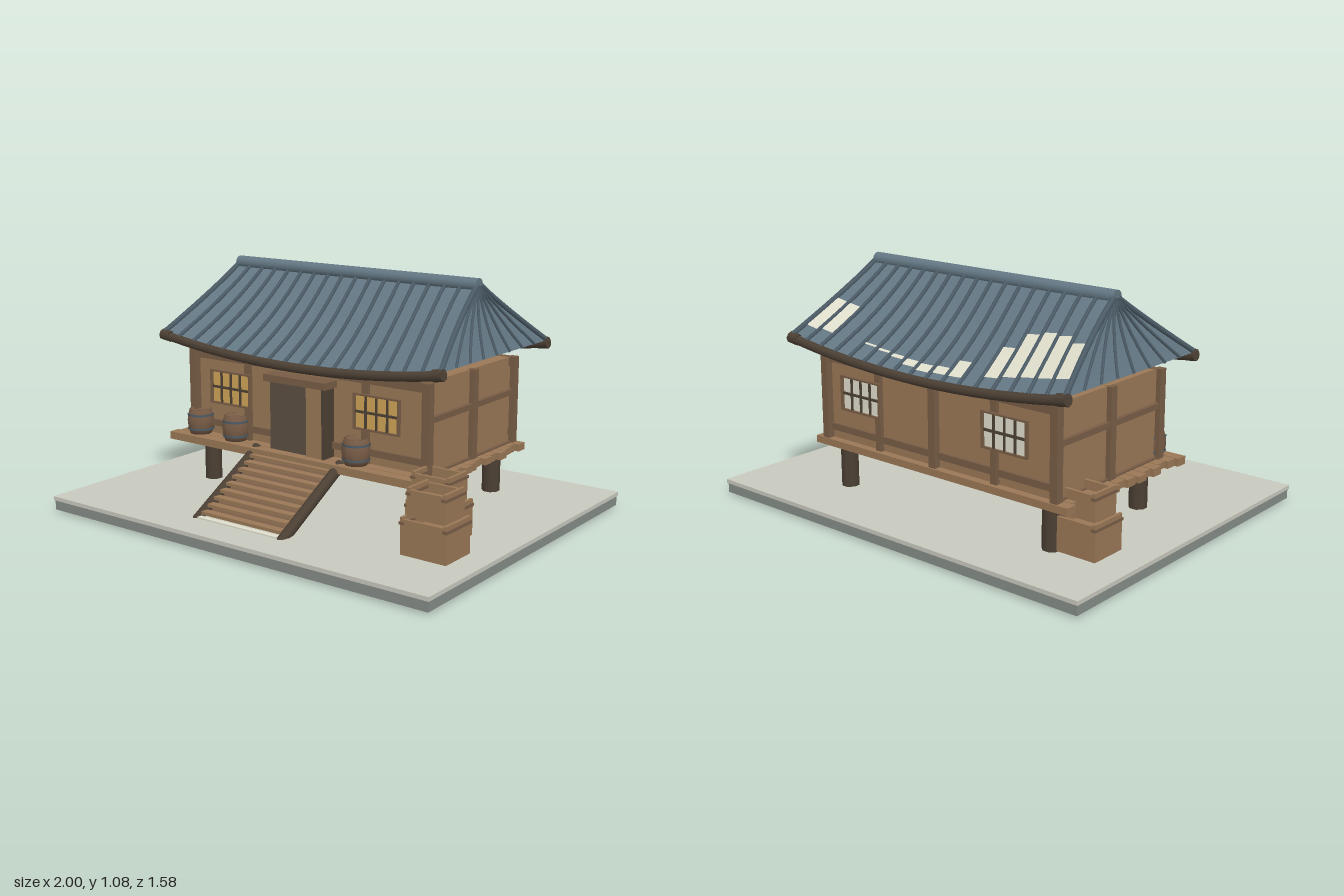
import * as THREE from 'three';

const mat = (name, color, extra = {}) => {
  const m = new THREE.MeshStandardMaterial({ color, ...extra });
  m.name = name;
  return m;
};
const M = {
  wood: mat('light wood', 0x9a7856),
  post: mat('brown timber', 0x785c46),
  dark: mat('dark timber', 0x4c4034),
  door: mat('door brown', 0x5c4e42),
  slate: mat('slate tile', 0x637783, { side: THREE.DoubleSide }),
  rib: mat('dark slate', 0x4c5c67),
  ground: mat('pale ground', 0xc8c9be),
  stone: mat('grey stone', 0x858c87),
  glow: mat('warm window', 0xd0a558),
  paper: mat('cream', 0xe0dfcd, { side: THREE.DoubleSide }),
};
const CX = -0.055, CZ = -0.185; // centre of the house

function add(parent, name, geo, material, x = 0, y = 0, z = 0) {
  const m = new THREE.Mesh(geo, material);
  m.name = name;
  m.position.set(x, y, z);
  parent.add(m);
  return m;
}
// Box given by its two extents on each axis
function box(parent, name, material, x0, x1, y0, y1, z0, z1) {
  return add(parent, name, new THREE.BoxGeometry(x1 - x0, y1 - y0, z1 - z0), material,
    (x0 + x1) / 2, (y0 + y1) / 2, (z0 + z1) / 2);
}
function group(parent, name) {
  const g = new THREE.Group();
  g.name = name;
  parent.add(g);
  return g;
}

// Roof surfaces: t runs from ridge to eave
const halfW = t => 0.655 + 0.095 * Math.pow(t, 1.4);
const halfD = t => 0.01 + 0.425 * t;
const slope = (side, u, t, lift = 0) => new THREE.Vector3(
  CX + u * halfW(t),
  1.045 - 0.285 * t - (1 - u * u) * (0.06 * t + 0.03 * Math.sin(Math.PI * t)) + lift,
  CZ + side * (halfD(t) + lift * 0.6));
const hip = (side, v, t, lift = 0) => new THREE.Vector3(
  CX + side * (halfW(t) + lift), 1.045 - 0.285 * t + lift * 0.4, CZ + v * halfD(t));

function sheet(fn, a0, a1, t0, t1, na, nt) {
  const pos = [], idx = [];
  for (let i = 0; i <= na; i++) for (let j = 0; j <= nt; j++) {
    const p = fn(a0 + (a1 - a0) * i / na, t0 + (t1 - t0) * j / nt);
    pos.push(p.x, p.y, p.z);
    if (i < na && j < nt) {
      const k = i * (nt + 1) + j;
      idx.push(k, k + 1, k + nt + 1, k + 1, k + nt + 2, k + nt + 1);
    }
  }
  const g = new THREE.BufferGeometry();
  g.setAttribute('position', new THREE.Float32BufferAttribute(pos, 3));
  g.setIndex(idx);
  g.computeVertexNormals();
  return g;
}
// Mirrored sheets have their corner order reversed so normals face outward
function outward(geo, flip) {
  if (!flip) return geo;
  geo.setIndex([...geo.index.array].reverse());
  geo.computeVertexNormals();
  return geo;
}
function rod(parent, name, material, fn, r, n = 8, sides = 6) {
  const pts = Array.from({ length: n + 1 }, (_, i) => fn(i / n));
  add(parent, name, new THREE.TubeGeometry(new THREE.CatmullRomCurve3(pts), n, r, sides), material);
}

function buildRoof(root) {
  const roof = group(root, 'roof');
  const N = 17;
  for (const s of [1, -1]) {
    add(roof, 'roofSlope', outward(sheet((u, t) => slope(s, u, t), -1, 1, 0, 1, 24, 10), s < 0), M.slate);
    add(roof, 'roofHip', outward(sheet((v, t) => hip(s, v, t), -1, 1, 0, 1, 8, 10), s > 0), M.slate);
    for (let i = 1; i < N; i++)
      rod(roof, 'tileRib', M.rib, t => slope(s, -1 + 2 * i / N, t, 0.004), 0.009);
    for (let i = 1; i < 8; i++)
      rod(roof, 'hipRib', M.rib, t => hip(s, -1 + i / 4, t, 0.002), 0.007);
    for (const u of [-1, 1]) {
      rod(roof, 'cornerRib', M.rib, t => slope(s, u, t, 0.003), 0.013);
      const c = slope(s, u, 1);
      const cap = add(roof, 'eaveEnd', new THREE.CylinderGeometry(0.026, 0.026, 0.05, 8), M.dark,
        c.x - u * 0.012, c.y - 0.012, c.z);
      cap.rotation.z = Math.PI / 2 + u * 0.15;
    }
    // Sagging eave beam
    rod(roof, 'eaveBeam', M.dark, k => {
      const p = slope(s, -1 + 2 * k, 1);
      return p.setY(p.y - 0.012);
    }, 0.021, 20, 8);
  }
  // Ridge pole
  const ridge = add(roof, 'ridge', new THREE.CylinderGeometry(0.03, 0.03, 1.32, 12), M.slate, CX, 1.05, CZ + 0.005);
  ridge.rotation.z = Math.PI / 2;
  // Bare patches on the back slope: column, upper z, lower z
  const patches = [[0, 0.40, 0.55], [1, 0.37, 0.55], [2, 0.36, 0.55], [3, 0.37, 0.555], [4, 0.43, 0.565],
    [6, 0.51, 0.585], [7, 0.55, 0.585], [8, 0.555, 0.59], [9, 0.55, 0.58], [10, 0.545, 0.56],
    [11, 0.54, 0.55], [12, 0.535, 0.543], [15, 0.41, 0.55], [16, 0.41, 0.56]];
  for (const [c, a, b] of patches) {
    const t = z => (z + CZ - 0.01) / 0.425;
    const u = -1 + 2 * c / N;
    add(roof, 'roofPatch', outward(sheet((p, q) => slope(-1, p, q, 0.005),
      u + 0.012, u + 2 / N - 0.012, t(a), t(b), 1, 4), true), M.paper);
  }
}

function buildWindow(root, x, z, s, pane) {
  const w = group(root, 'window');
  w.position.set(x, 0.53, z);
  box(w, 'windowPane', pane, -0.11, 0.11, -0.07, 0.07, -0.004, 0.004);
  const bar = (x0, x1, y0, y1, m, d) => box(w, 'windowBar', m, x0, x1, y0, y1, d - 0.006, d + 0.006);
  for (const k of [-1, 1]) {
    bar(k * 0.113 - 0.006, k * 0.113 + 0.006, -0.078, 0.078, M.post, s * 0.008);
    bar(-0.119, 0.119, k * 0.074 - 0.004, k * 0.074 + 0.004, M.post, s * 0.008);
    bar(k * 0.055 - 0.004, k * 0.055 + 0.004, -0.07, 0.07, M.dark, s * 0.006);
  }
  bar(-0.004, 0.004, -0.07, 0.07, M.dark, s * 0.006);
  bar(-0.11, 0.11, -0.005, 0.005, M.dark, s * 0.006);
}

function buildHouse(root) {
  const h = group(root, 'house');
  box(h, 'walls', M.wood, -0.69, 0.58, 0.29, 0.69, -0.515, 0.155);
  // Corner and middle posts, side beams
  for (const s of [-1, 1]) {
    const x = CX + s * 0.64;
    for (const z of [0.17, CZ + 0.005, -0.528])
      box(h, 'wallPost', M.post, x - 0.018, x + 0.018, 0.29, 0.69, z - 0.019, z + 0.019);
    box(h, 'sideBeam', M.post, x - 0.014, x + 0.014, 0.52, 0.545, -0.53, 0.17);
    box(h, 'sideSill', M.post, x - 0.01, x + 0.01, 0.29, 0.305, -0.53, 0.17);
  }
  // Front and back framing
  for (const [z, s] of [[0.155, 1], [-0.515, -1]]) {
    const slab = (n, x0, x1, y0, y1, d) => box(h, n, M.post, x0, x1, y0, y1, z - d, z + d);
    slab('topBeam', -0.69, 0.58, 0.648, 0.69, 0.02);
    slab('lowBeam', -0.69, 0.58, 0.335, 0.365, 0.014);
    for (const k of [-1, 1]) {
      const x = CX + k * 0.325;
      slab('innerPost', x - 0.017, x + 0.017, 0.29, 0.65, 0.017);
      buildWindow(h, CX + k * 0.402, z + s * 0.032, s, s > 0 ? M.glow : M.paper);
    }
  }
  box(h, 'backPost', M.post, CX - 0.018, CX + 0.018, 0.29, 0.66, -0.545, -0.51);
  // Doorway with a sliding door
  box(h, 'doorway', M.door, -0.21, 0.0, 0.295, 0.61, 0.15, 0.215);
  box(h, 'slidingDoor', M.wood, 0.0, 0.085, 0.295, 0.61, 0.15, 0.228);
  box(h, 'doorPost', M.dark, 0.085, 0.097, 0.295, 0.61, 0.15, 0.23);
  box(h, 'lintel', M.post, -0.225, 0.113, 0.607, 0.638, 0.15, 0.243);
}

function buildDeck(root) {
  const d = group(root, 'deck');
  for (let i = 0; i < 14; i++) {
    const z = 0.265 - i * 0.0587, k = i === 0 ? 0 : ((i * 7) % 5) * 0.007;
    box(d, 'plank', M.wood, -0.775 + k, 0.65 - k, 0.262 + (i % 3) * 0.003, 0.297, z - 0.054, z);
  }
  for (const x of [-0.63, 0.52]) for (const z of [0.13, -0.47])
    add(d, 'stilt', new THREE.CylinderGeometry(0.041, 0.041, 0.2, 8).rotateY(Math.PI / 8), M.dark, x, 0.167, z);
}

function buildStairs(root) {
  const g = group(root, 'stairs');
  const angle = Math.atan2(0.27, 0.47), len = Math.hypot(0.27, 0.47);
  for (const s of [-1, 1]) {
    const rail = add(g, 'stairRail', new THREE.CylinderGeometry(0.024, 0.024, len, 8), M.dark, CX + s * 0.232, 0.155, 0.445);
    rail.rotation.x = -Math.PI / 2 + angle;
    rail.rotation.x += Math.PI;
  }
  const back = add(g, 'stairBack', new THREE.BoxGeometry(0.43, 0.008, 0.42), M.post, CX, 0.16, 0.412);
  back.rotation.x = angle;
  for (let i = 0; i < 9; i++) {
    const z = 0.592 - i * 0.04, y = 0.088 + i * 0.0225;
    box(g, 'tread', M.wood, CX - 0.215, CX + 0.215, y - 0.007, y + 0.007, z - 0.02, z + 0.017);
  }
  box(g, 'footBoard', M.paper, CX - 0.215, CX + 0.215, 0.071, 0.077, 0.61, 0.635);
}

function buildBarrel(root, x) {
  const b = group(root, 'barrel');
  b.position.set(x, 0.297, 0.19);
  const prof = [[0, 0], [0.051, 0], [0.06, 0.03], [0.063, 0.057], [0.06, 0.085], [0.051, 0.115], [0.045, 0.115], [0.045, 0.106], [0, 0.106]];
  add(b, 'barrelBody', new THREE.LatheGeometry(prof.map(p => new THREE.Vector2(...p)), 12), M.post);
  for (const y of [0.025, 0.09])
    add(b, 'barrelHoop', new THREE.CylinderGeometry(0.0625, 0.0625, 0.01, 12, 1, true), M.rib, 0, y, 0);
}

// Open crate with a raised rim on two sides
function buildCrate(root, x, y, z, w, h, d) {
  const c = group(root, 'crate');
  c.position.set(x, y, z);
  const a = w / 2, b = d / 2, t = 0.014;
  box(c, 'crateFloor', M.wood, -a + t, a - t, 0, h * 0.6, -b + t, b - t);
  for (const s of [-1, 1]) {
    const X = s * (a - t / 2), Z = s * (b - t / 2);
    box(c, 'crateSide', M.wood, X - t / 2, X + t / 2, 0, h, -b, b);
    box(c, 'crateEnd', M.wood, -a + t, a - t, 0, h - 0.008, Z - t / 2, Z + t / 2);
    box(c, 'crateRim', M.post, X - t / 2 - 0.004, X + t / 2 + 0.004, h - 0.03, h - 0.018, -b - 0.004, b + 0.004);
  }
}

export function createModel() {
  const root = new THREE.Group();
  root.name = 'stiltHouse';
  // Ground slab
  box(root, 'slabBase', M.stone, -0.995, 0.995, 0.008, 0.052, -0.785, 0.785);
  box(root, 'slabTop', M.ground, -1, 1, 0.052, 0.07, -0.79, 0.79);
  buildDeck(root);
  buildHouse(root);
  buildRoof(root);
  buildStairs(root);
  [-0.65, -0.435, 0.24].forEach(x => buildBarrel(root, x));
  // Stacked crates
  for (const [x, z] of [[0.782, 0.41], [0.675, 0.215], [-0.748, -0.398]]) {
    buildCrate(root, x, 0.075, z, 0.212, 0.155, 0.176);
    buildCrate(root, x, 0.23, z, 0.178, 0.118, 0.14);
  }
  return root;
}
